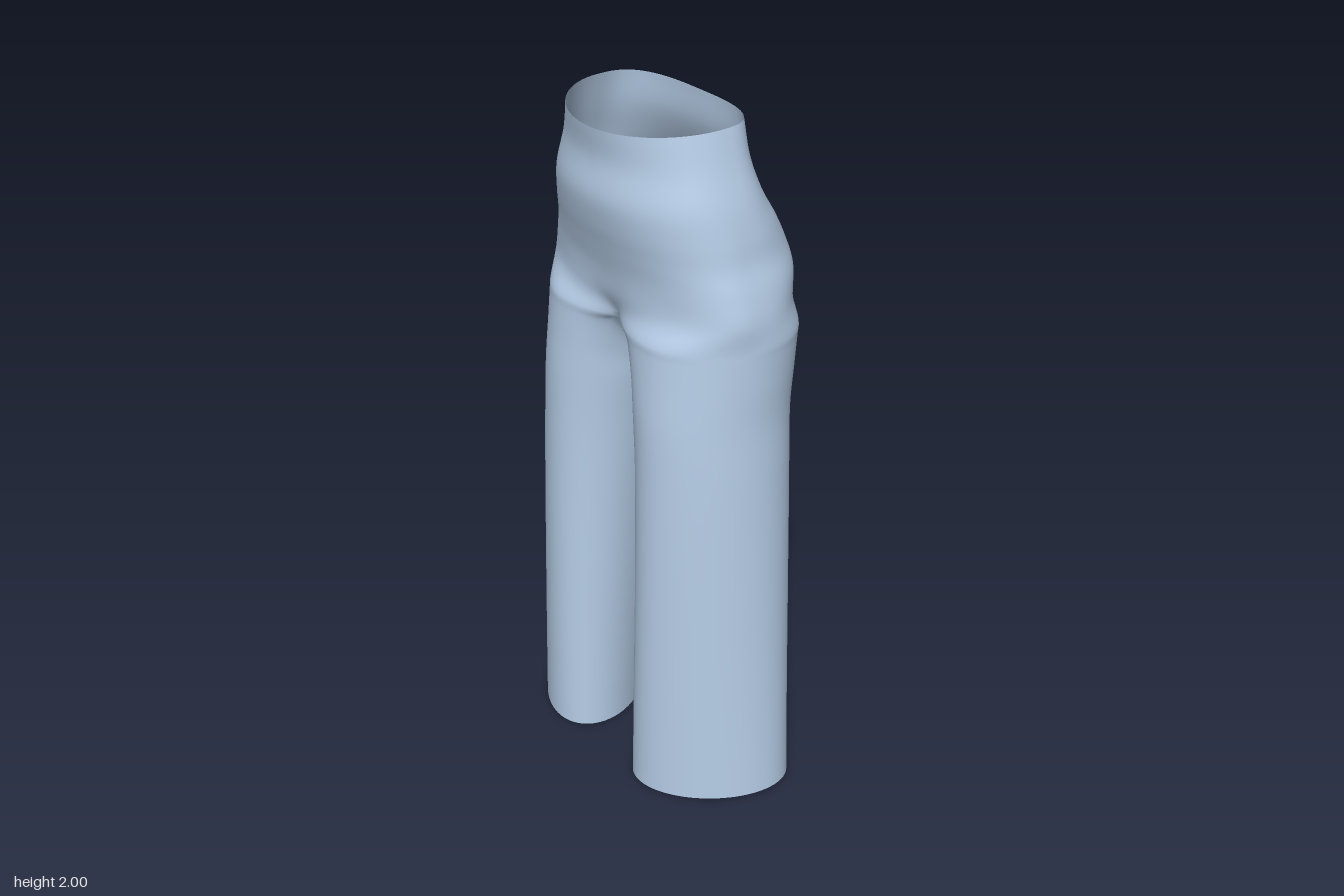
import * as THREE from 'three';
import { mergeGeometries, mergeVertices } from 'three/addons/utils/BufferGeometryUtils.js';

const OUTER = 48, INNER = 18, COLS = OUTER + INNER, SUB = 6;
const FRONT_SEAM = 2.4, BACK_SEAM = -2.0; // angles on the leg ring where the hip seams start
const CROTCH = 1.31;
const lerp = THREE.MathUtils.lerp;

// Leg rings: height, inner x, outer x, back z, front z, skew
const LEG = [
  [0.0, 0.095, 0.467, -0.134, 0.261, 0.42],
  [0.4, 0.09, 0.445, -0.148, 0.254, 0.34],
  [0.8, 0.077, 0.424, -0.166, 0.245, 0.24],
  [1.05, 0.058, 0.409, -0.182, 0.239, 0.16],
  [1.2, 0.039, 0.399, -0.195, 0.236, 0.12],
];
// Top of the thigh, where both legs join
const THIGH = [1.43, 0, 0.398, -0.226, 0.22, 0.1];

// Hip arcs: height, half width, z of widest point, back z, front z, back dip, front dip, back power, front power
const HIP = [
  [1.5, 0.393, 0.01, -0.258, 0.207, 0.034, 0.012, 0.84, 0.86],
  [1.58, 0.374, 0.015, -0.272, 0.211, 0.022, 0.001, 0.82, 0.88],
  [1.65, 0.35, 0.02, -0.252, 0.227, 0.015, 0, 0.8, 0.9],
  [1.72, 0.337, 0.02, -0.212, 0.245, 0.008, 0, 0.78, 0.92],
  [1.8, 0.319, 0.025, -0.158, 0.257, 0.002, 0, 0.75, 0.94],
  [1.9, 0.288, 0.03, -0.118, 0.246, 0, 0, 0.7, 0.97],
  [2.0, 0.261, 0.03, -0.11, 0.256, 0, 0, 0.68, 1],
];

// Point of a leg ring at column k
function legPoint([y, xi, xo, zb, zf, skew], k) {
  const t = k <= OUTER
    ? lerp(FRONT_SEAM, BACK_SEAM, k / OUTER)
    : lerp(BACK_SEAM, FRONT_SEAM - 2 * Math.PI, (k - OUTER) / INNER);
  const x = (xi + xo) / 2 + ((xo - xi) / 2) * Math.cos(t);
  const z = (zb + zf) / 2 + ((zf - zb) / 2) * Math.sin(t - skew);
  const hem = y === 0 ? 0.003 + (0.015 * (x - xi)) / (xo - xi) : 0;
  return new THREE.Vector3(x, y + hem, z);
}

// Point of a hip arc, from the front seam round the side to the back seam
function hipPoint([y, w, zc, zb, zf, backDip, frontDip, backPow, frontPow], k) {
  const t = Math.PI * (0.5 - k / OUTER);
  const front = t >= 0;
  const pow = front ? frontPow : backPow;
  const x = k % OUTER === 0 ? 0 : w * Math.cos(t) ** pow;
  const groove = Math.exp(-((x / 0.095) ** 2));
  const depth = Math.abs(Math.sin(t)) ** pow;
  const z = front
    ? zc + (zf - zc) * depth - frontDip * groove
    : zc + (zb - zc) * depth + backDip * groove;
  const waist = y === 2 && front ? -0.014 * Math.sin(t) ** 2 : 0;
  return new THREE.Vector3(x, y + waist, z);
}

// Where leg and hips meet: the thigh ring drawn in to x = 0, closed by the crotch curve
function forkPoint(k) {
  if (k <= OUTER) {
    const p = legPoint(THIGH, k);
    const seam = legPoint(THIGH, k < OUTER / 2 ? 0 : OUTER).x;
    const middle = (THIGH[1] + THIGH[2]) / 2;
    if (p.x < middle) p.x = (middle * (p.x - seam)) / (middle - seam);
    return p;
  }
  const s = (k - OUTER) / INNER;
  const p = forkPoint(OUTER).lerp(forkPoint(0), s);
  p.y = CROTCH + (THIGH[0] - CROTCH) * Math.abs(2 * s - 1) ** 2.3;
  return p;
}

// Transition from the top leg ring into the fork: rounded at the crotch, straight on the outside
function archPoint(angle, k) {
  const a = legPoint(LEG[LEG.length - 1], k), b = forkPoint(k);
  const fromSeam = k > OUTER ? 0 : Math.min(k, OUTER - k);
  const round = 0.75 * Math.exp(-((fromSeam / 5) ** 2));
  const wy = Math.sin(angle);
  const wx = lerp(wy, 1 - Math.cos(angle), round);
  return new THREE.Vector3(lerp(a.x, b.x, wx), lerp(a.y, b.y, wy), lerp(a.z, b.z, wy));
}

// One half: a smooth curve up every column, joined into a skin
function halfGeometry() {
  const forkRow = (LEG.length + 2) * SUB;
  const topRow = forkRow + HIP.length * SUB;
  const positions = [], index = [], start = [];
  for (let k = 0; k < COLS; k++) {
    const keys = LEG.map((ring) => legPoint(ring, k));
    keys.push(archPoint(Math.PI / 6, k), archPoint(Math.PI / 3, k), forkPoint(k));
    if (k <= OUTER) HIP.forEach((arc) => keys.push(hipPoint(arc, k)));
    const curve = new THREE.CatmullRomCurve3(keys);
    const rows = (keys.length - 1) * SUB;
    start.push(positions.length / 3);
    for (let r = 0; r <= rows; r++) {
      const p = curve.getPoint(r / rows);
      const onSeam = r >= forkRow && (k % OUTER === 0 || k > OUTER);
      positions.push(onSeam ? 0 : Math.max(0, p.x), p.y, p.z);
    }
  }
  for (let k = 0; k < COLS; k++) {
    const a = start[k], b = start[(k + 1) % COLS];
    const rows = k < OUTER ? topRow : forkRow;
    for (let r = 0; r < rows; r++) {
      index.push(a + r, b + r, b + r + 1, a + r, b + r + 1, a + r + 1);
    }
  }
  const geometry = new THREE.BufferGeometry();
  geometry.setAttribute('position', new THREE.Float32BufferAttribute(positions, 3));
  geometry.setIndex(index);
  return geometry;
}

// Mirror across x = 0, keeping faces outward
function mirrored(geometry) {
  const copy = geometry.clone().scale(-1, 1, 1);
  copy.setIndex(Array.from(geometry.index.array).reverse());
  return copy;
}

export function createModel() {
  const left = halfGeometry();
  const skin = mergeVertices(mergeGeometries([left, mirrored(left)]), 1e-4);
  skin.computeVertexNormals();

  const material = new THREE.MeshStandardMaterial({ color: 0xb5cce6, side: THREE.DoubleSide });
  const trousers = new THREE.Mesh(skin, material);
  trousers.name = 'trousers';

  const model = new THREE.Group();
  model.name = 'wideLegTrousers';
  model.add(trousers);
  return model;
}
